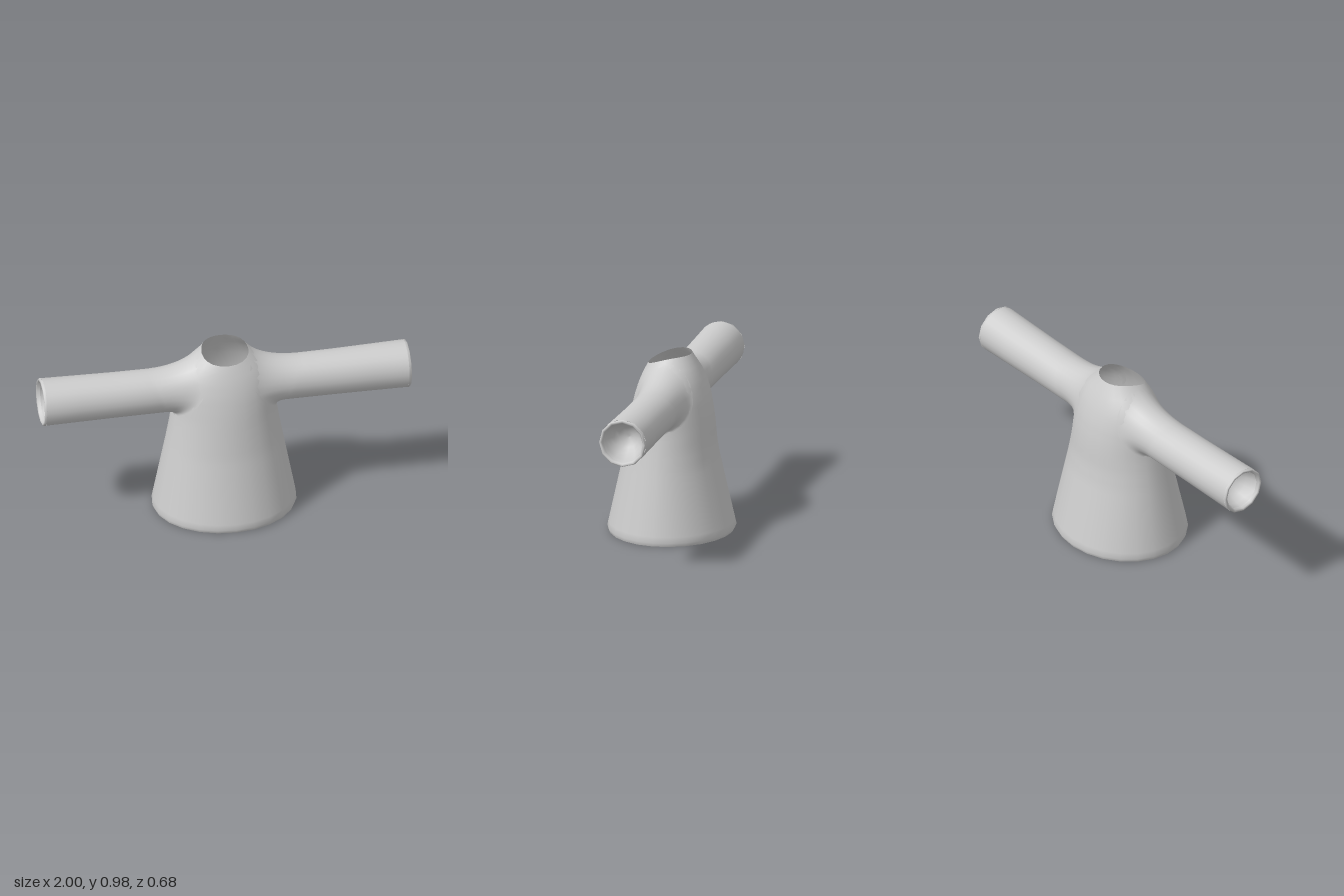
import * as THREE from 'three';

// Half widths of the body by height: [y, side, front, back]
const PROFILE = [
  [0, 0.383, 0.333, 0.333], [0.02, 0.39, 0.342, 0.342], [0.2, 0.356, 0.302, 0.3],
  [0.4, 0.318, 0.258, 0.253], [0.5, 0.3, 0.241, 0.237], [0.6, 0.284, 0.224, 0.229],
  [0.67, 0.279, 0.211, 0.22], [0.75, 0.273, 0.193, 0.204], [0.82, 0.256, 0.171, 0.183],
  [0.87, 0.224, 0.15, 0.163], [0.9, 0.193, 0.136, 0.148], [0.92, 0.17, 0.125, 0.138],
  [0.94, 0.146, 0.118, 0.127], [0.965, 0.124, 0.112, 0.114], [0.975, 0.118, 0.108, 0.108],
];
const TAU = Math.PI * 2;
const SLEEVE_Y = 0.738;

function widths(y) {
  let i = 0;
  while (i < PROFILE.length - 2 && y > PROFILE[i + 1][0]) i++;
  const a = PROFILE[i], b = PROFILE[i + 1];
  const t = THREE.MathUtils.clamp((y - a[0]) / (b[0] - a[0]), 0, 1);
  return [1, 2, 3].map((k) => a[k] + (b[k] - a[k]) * t);
}

// Side position of the body surface at a given height and depth
function bodyX(y, z) {
  const [side, front, back] = widths(y);
  const r = z / (z > 0 ? front : back);
  return side * Math.sqrt(Math.max(0, 1 - r * r));
}

// Skin a grid of closed rings; point(row, angle) returns [x, y, z]
function loft(rows, sides, point) {
  const pos = [], index = [];
  for (let i = 0; i < rows; i++) {
    for (let j = 0; j < sides; j++) pos.push(...point(i, (j / sides) * TAU));
  }
  for (let i = 0; i < rows - 1; i++) {
    for (let j = 0; j < sides; j++) {
      const k = (j + 1) % sides;
      const a = i * sides + j, b = i * sides + k;
      index.push(a, a + sides, b, b, a + sides, b + sides);
    }
  }
  const g = new THREE.BufferGeometry();
  g.setAttribute('position', new THREE.Float32BufferAttribute(pos, 3));
  g.setIndex(index);
  g.computeVertexNormals();
  return g;
}

// Body running from the hem up to the slanted neckline
function bodyGeometry() {
  const levels = [0, 0.021];
  for (let i = 1; i <= 30; i++) levels.push(0.021 + (0.979 * i) / 30);
  return loft(levels.length, 24, (i, a) => {
    const s = Math.sin(a);
    const neck = 0.965 - 0.0275 * s - 0.0175 * s * s;
    const y = levels[i] * neck;
    const [side, front, back] = widths(y);
    return [Math.cos(a) * side, y, s * (s > 0 ? front : back)];
  });
}

// Sleeve: a fillet tangent to the body, sweeping up to the neck, then a slightly widening tube
function sleeveGeometry(sign) {
  const fillet = 12;
  const tube = [[0.6, 0.122], [0.8, 0.125], [0.985, 0.128]];
  return loft(fillet + 1 + tube.length, 24, (i, a) => {
    const c = Math.cos(a), s = Math.sin(a);
    if (i > fillet) {
      const [x, r] = tube[i - fillet - 1];
      return [sign * x, SLEEVE_Y + (r - 0.121) * 0.5 + r * s, r * c];
    }
    const at = (rz, ry) => {
      const y = SLEEVE_Y + ry * s, z = rz * c;
      return [bodyX(y, z), y, z];
    };
    const p0 = at(0.162, s > 0 ? 0.212 : 0.145), p1 = at(0.121, 0.121);
    const p2 = [0.375 + 0.055 * s, p1[1], p1[2]];
    const t = i / fillet, u = 1 - t;
    const p = p0.map((v, k) => u * u * v + 2 * u * t * p1[k] + t * t * p2[k]);
    return [sign * p[0], p[1], p[2]];
  });
}

// Rings around the sleeve axis, given as [x, radius]
function cuffPart(sign, rings) {
  return loft(rings.length, 12, (i, a) => {
    const [x, r] = rings[i];
    return [sign * x, SLEEVE_Y + 0.0035 + r * Math.sin(a), r * Math.cos(a)];
  });
}

export function createModel() {
  const group = new THREE.Group();
  const fabric = new THREE.MeshStandardMaterial({ color: 0xcccccc, side: THREE.DoubleSide });
  fabric.name = 'light grey fabric';
  const add = (name, geometry) => {
    const mesh = new THREE.Mesh(geometry, fabric);
    mesh.name = name;
    group.add(mesh);
    return mesh;
  };

  add('body', bodyGeometry());

  // Lining inside the skirt, a funnel closed by a flat top
  const lining = [[0.383, 0], [0.365, 0.01], [0.34, 0.05], [0.27, 0.2], [0.22, 0.28], [0.19, 0.3], [0, 0.3]];
  add('skirtLining', new THREE.LatheGeometry(lining.map(([x, y]) => new THREE.Vector2(x, y)), 24))
    .scale.z = 0.868;

  for (const [side, sign] of [['left', 1], ['right', -1]]) {
    add(side + 'Sleeve', sleeveGeometry(sign));
    add(side + 'CuffRim', cuffPart(sign, [[0.985, 0.13], [0.997, 0.128], [1, 0.122], [0.996, 0.114], [0.98, 0.109]]));
    // Round bowl inside the sleeve opening
    const bowl = [];
    for (let i = 0; i <= 6; i++) {
      const t = (i / 6) * Math.PI / 2;
      bowl.push([0.98 - 0.13 * Math.sin(t), 0.109 * Math.cos(t)]);
    }
    add(side + 'SleeveLining', cuffPart(sign, bowl));
  }
  return group;
}
